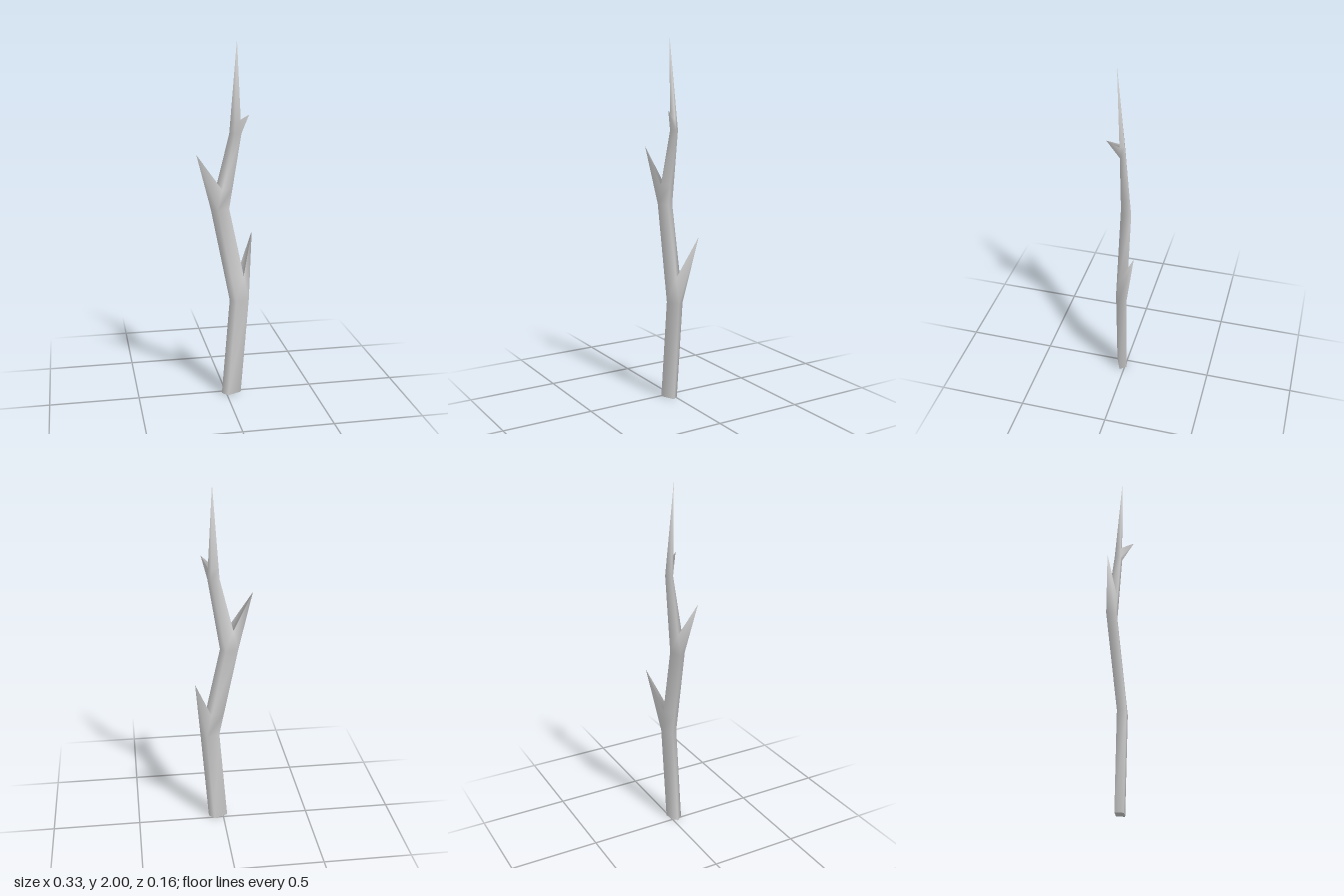
import * as THREE from 'three';

// Four-cornered cross-sections of the stem: front, right, back, left corner as [x, z]
const sections = [
  { y: 0.0, c: [[0.005, 0.06], [0.085, 0.025], [0.055, -0.012], [-0.025, 0.022]] },
  { y: 0.56, c: [[0.052, 0.052], [0.13, 0.021], [0.098, -0.022], [0.022, 0.012]] },
  { y: 1.09, c: [[-0.05, 0.048], [0.017, 0.02], [-0.01, -0.021], [-0.083, 0.004]] },
  { y: 1.5, c: [[0.045, 0.027], [0.084, 0.016], [0.066, -0.01], [0.02, 0.002]] },
  { y: 2.0, c: Array(4).fill([0.054, 0.036]) },
];

// Each twig grows out of one stem face, from a bend (section) up to its crotch
const twigs = [
  { name: 'lowerTwig', section: 1, side: 1, crotch: 0.70, tip: [0.166, 0.93, -0.082] },
  { name: 'middleTwig', section: 2, side: 3, crotch: 1.2, tip: [-0.168, 1.4, 0.059] },
  { name: 'upperTwig', section: 3, side: 0, crotch: 1.56, tip: [0.112, 1.61, 0.079] },
];

export function createModel() {
  const group = new THREE.Group();
  const material = new THREE.MeshStandardMaterial({ color: 0xcccccc });
  const positions = [];
  const addVertex = (x, y, z) => positions.push(x, y, z) / 3 - 1;
  const addRing = (y, c) => c.map(([x, z]) => addVertex(x, y, z));

  // Rings up the stem, with an extra ring at every crotch
  const rings = [];
  sections.slice(0, -1).forEach((s, i) => {
    rings.push({ ids: addRing(s.y, s.c) });
    const twig = twigs.find((t) => t.section === i);
    if (!twig) return;
    const next = sections[i + 1];
    const k = (twig.crotch - s.y) / (next.y - s.y);
    const mid = s.c.map((p, n) => p.map((v, a) => THREE.MathUtils.lerp(v, next.c[n][a], k)));
    rings[rings.length - 1].twig = twig;
    rings.push({ ids: addRing(twig.crotch, mid) });
  });

  // Stem faces; a face that carries a twig becomes a four-sided spike
  const parts = { stem: [] };
  for (let r = 0; r < rings.length - 1; r++) {
    const lo = rings[r].ids, hi = rings[r + 1].ids, twig = rings[r].twig;
    for (let i = 0; i < 4; i++) {
      const j = (i + 1) % 4;
      const quad = [lo[i], lo[j], hi[j], hi[i]];
      if (twig && twig.side === i) {
        const tip = addVertex(...twig.tip);
        parts[twig.name] = quad.flatMap((v, n) => [v, quad[(n + 1) % 4], tip]);
      } else {
        parts.stem.push(quad[0], quad[1], quad[2], quad[0], quad[2], quad[3]);
      }
    }
  }

  // Pointed top of the stem
  const end = sections[sections.length - 1];
  const top = addVertex(end.c[0][0], end.y, end.c[0][1]);
  const last = rings[rings.length - 1].ids;
  last.forEach((v, i) => parts.stem.push(v, last[(i + 1) % 4], top));

  // Normals are smoothed over the whole branch, then shared by its named parts
  const whole = new THREE.BufferGeometry();
  whole.setAttribute('position', new THREE.Float32BufferAttribute(positions, 3));
  whole.setIndex(Object.values(parts).flat());
  whole.computeVertexNormals();
  for (const [name, index] of Object.entries(parts)) {
    const geometry = new THREE.BufferGeometry();
    geometry.setAttribute('position', whole.getAttribute('position'));
    geometry.setAttribute('normal', whole.getAttribute('normal'));
    geometry.setIndex(index);
    const mesh = new THREE.Mesh(geometry, material);
    mesh.name = name;
    group.add(mesh);
  }

  // Flat cut at the foot
  const cut = new THREE.BufferGeometry();
  cut.setAttribute('position', new THREE.Float32BufferAttribute(positions.slice(0, 12), 3));
  cut.setIndex([0, 2, 1, 0, 3, 2]);
  cut.computeVertexNormals();
  const cutEnd = new THREE.Mesh(cut, material);
  cutEnd.name = 'cutEnd';
  group.add(cutEnd);

  group.name = 'branch';
  return group;
}
